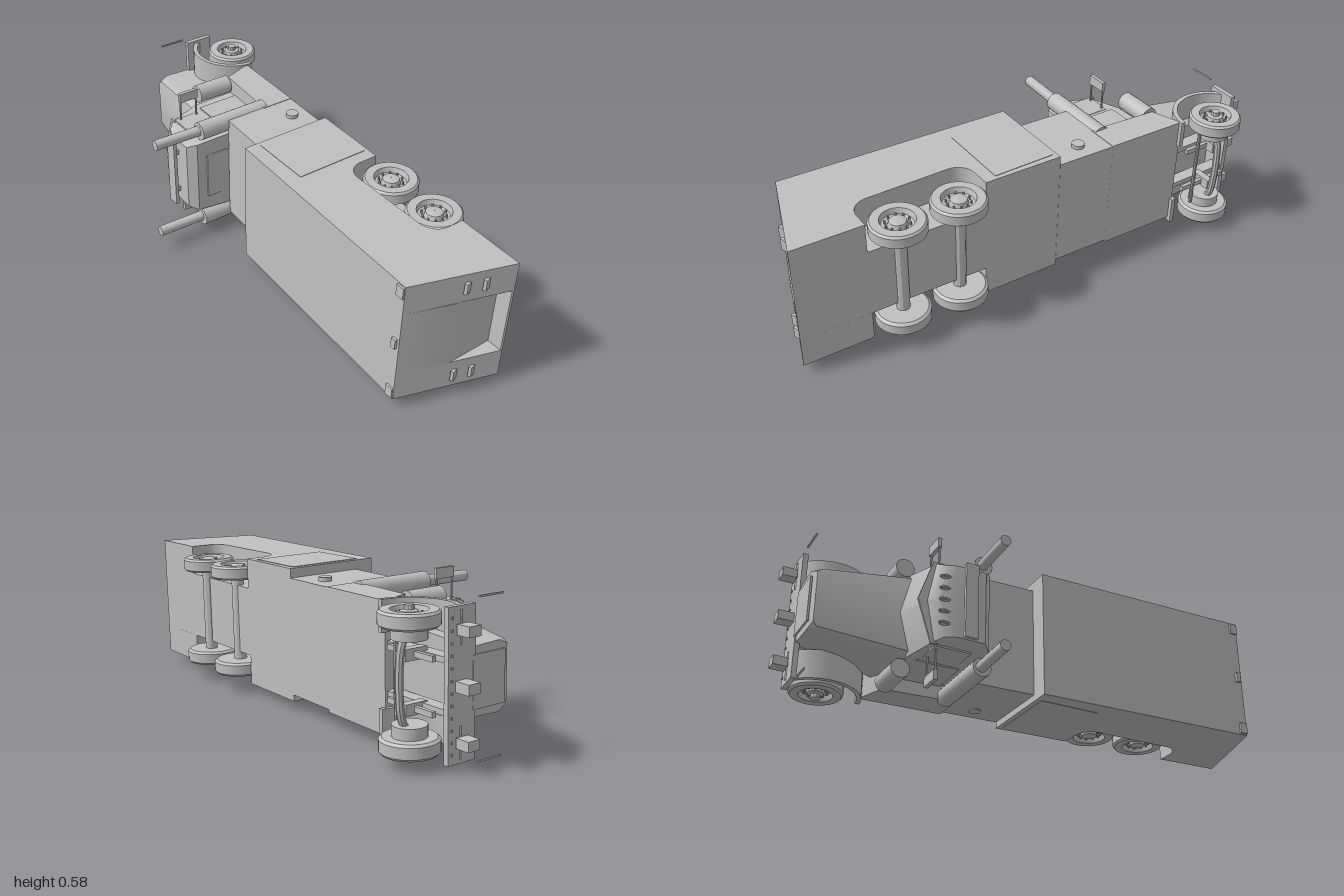
import * as THREE from 'three';
import { toCreasedNormals } from 'three/addons/utils/BufferGeometryUtils.js';
import { ConvexGeometry } from 'three/addons/geometries/ConvexGeometry.js';

// The truck lies on its side: x runs cab (-) to tail (+), z is the truck's roof, y its width.
export function createModel() {
  const grey = new THREE.MeshStandardMaterial({ color: 0xc0c0c0 });
  const root = new THREE.Group();
  const truck = new THREE.Group();
  truck.name = 'truck';
  truck.position.y = 0.3;
  truck.rotation.x = -0.024;
  root.add(truck);
  const cab = new THREE.Group();
  cab.name = 'tractor';
  cab.position.y = -0.013;
  truck.add(cab);

  const add = (parent, name, geo, x = 0, y = 0, z = 0) => {
    const mesh = new THREE.Mesh(toCreasedNormals(geo, 0.5), grey);
    mesh.name = name;
    mesh.position.set(x, y, z);
    parent.add(mesh);
    return mesh;
  };
  // box given by its limits
  const box = (parent, name, x0, x1, y0, y1, z0, z1) =>
    add(parent, name, new THREE.BoxGeometry(x1 - x0, y1 - y0, z1 - z0),
      (x0 + x1) / 2, (y0 + y1) / 2, (z0 + z1) / 2);
  // side profile in (x, z), extruded from y0 to y1
  const slab = (parent, name, shape, y0, y1) => {
    const geo = new THREE.ExtrudeGeometry(shape, { depth: y1 - y0, bevelEnabled: false, curveSegments: 8 });
    geo.rotateX(Math.PI / 2);
    return add(parent, name, geo, 0, y1, 0);
  };
  const poly = pts => new THREE.Shape(pts.map(p => new THREE.Vector2(p[0], p[1])));
  // cylinder standing along the truck's own up axis
  const post = (parent, name, r, x, y, z0, z1) =>
    add(parent, name, new THREE.CylinderGeometry(r, r, z1 - z0, 16).rotateX(Math.PI / 2), x, y, (z0 + z1) / 2);
  // convex solid from points on one half, mirrored across the width
  const hull = (parent, name, pts) => add(parent, name, new ConvexGeometry(
    pts.flatMap(([x, y, z]) => [new THREE.Vector3(x, y, z), new THREE.Vector3(x, -y, z)])));

  // Cargo body: a middle slab with the tail recess and two sides with wheel wells
  slab(truck, 'bodyMiddle', poly([[-0.07, -0.235], [0.995, -0.205], [0.992, -0.198], [0.932, -0.198],
    [0.932, -0.005], [0.87, 0.18], [-0.07, 0.147]]), -0.138, 0.138);
  const side = new THREE.Shape();
  side.moveTo(0.87, 0.18);
  side.lineTo(-0.07, 0.147);
  side.lineTo(-0.07, -0.235);
  side.lineTo(0.25, -0.226);
  side.lineTo(0.25, -0.15);
  side.absarc(0.32, -0.15, 0.07, Math.PI, Math.PI / 2, true);
  side.lineTo(0.65, -0.08);
  side.absarc(0.65, -0.15, 0.07, Math.PI / 2, 0, true);
  side.lineTo(0.72, -0.213);
  side.lineTo(0.995, -0.205);
  slab(truck, 'bodySideLeft', side, 0.138, 0.256);
  slab(truck, 'bodySideRight', side, -0.256, -0.138);
  slab(truck, 'frontCompartment', poly([[-0.315, -0.245], [-0.07, -0.236], [-0.07, 0.07], [-0.315, 0.06]]), -0.23, 0.22);
  slab(truck, 'cabSkirt', poly([[-0.645, -0.255], [-0.31, -0.245], [-0.31, -0.11], [-0.6, -0.13]]), -0.24, 0.222);

  // Tyre, rim and hub, with the outer face towards +y
  const wheelGeo = (r, w) => new THREE.LatheGeometry([
    [0.001, -w / 2], [r * 0.9, -w / 2], [r, -w * 0.35], [r, w * 0.35], [r * 0.93, w / 2], [r * 0.62, w / 2],
    [r * 0.56, w * 0.12], [r * 0.35, w * 0.05], [r * 0.3, w * 0.4], [r * 0.12, w * 0.5], [0.001, w * 0.5],
  ].map(p => new THREE.Vector2(...p)), 28);
  const wheel = (parent, name, x, y, z, r, w) => {
    const g = new THREE.Group();
    g.name = name;
    g.position.set(x, y, z);
    if (y < 0) g.rotation.x = Math.PI;
    parent.add(g);
    add(g, 'tyre', wheelGeo(r, w));
    for (let i = 0; i < 10; i++) {
      const a = i * Math.PI / 5;
      add(g, 'wheelNut', new THREE.CylinderGeometry(0.004, 0.004, 0.016, 6),
        Math.cos(a) * r * 0.43, w * 0.2, Math.sin(a) * r * 0.43);
    }
    return g;
  };

  for (const s of [1, -1]) {
    const span = (a, b) => (s > 0 ? [a, b] : [-b, -a]);
    // Rear wheels
    for (const x of [0.355, 0.595]) wheel(truck, 'rearWheel', x, s * 0.197, x < 0.4 ? -0.212 : -0.205, 0.105, 0.055);
    // Body fittings
    box(truck, 'sidePanel', -0.05, 0.2, ...span(0.25, 0.258), -0.21, 0.09);
    box(truck, 'roofHinge', 0.835, 0.868, ...span(0.205, 0.25), 0.165, 0.187);
    add(truck, 'fillerCap', new THREE.CylinderGeometry(0.025, 0.025, 0.02, 14), -0.2, s * 0.225, -0.17);
    for (const z of [-0.035, -0.1]) {
      const lamp = add(truck, 'tailLamp', new THREE.BoxGeometry(0.012, 0.045, 0.033), 0.94 - (z + 0.035) * 0.33, s * 0.2, z);
      lamp.rotation.y = 0.318;
    }

    // Front wheels, steering knuckles and fenders
    wheel(cab, 'frontWheel', -0.8, s * 0.208, -0.282, 0.102, 0.056);
    add(cab, 'frontHub', new THREE.CylinderGeometry(0.016, 0.02, 0.03, 10), -0.8, s * 0.235, -0.282);
    add(cab, 'brakeDrum', new THREE.CylinderGeometry(0.06, 0.06, 0.05, 20), -0.8, s * 0.165, -0.282);
    const arch = new THREE.Shape();
    arch.absarc(-0.8, -0.28, 0.168, 0.05, 2.6, false);
    arch.absarc(-0.8, -0.28, 0.15, 2.6, 0.05, true);
    slab(cab, 'frontFender', arch, ...span(0.13, 0.242));
    box(cab, 'chassisRail', -0.93, -0.3, ...span(0.075, 0.095), -0.24, -0.19);
    box(cab, 'leafSpring', -0.9, -0.68, ...span(0.08, 0.1), -0.275, -0.26);
    box(cab, 'springMount', -0.815, -0.785, ...span(0.07, 0.11), -0.31, -0.22);

    // Exhaust stacks and air cleaners
    post(cab, 'exhaustMuffler', 0.037, -0.345, s * 0.21, -0.13, 0.18);
    const tip = post(cab, 'exhaustPipe', 0.021, -0.352, s * 0.21, 0.17, 0.375);
    tip.rotation.y = -0.03;
    post(cab, 'airCleaner', 0.037, -0.596, s * 0.207, -0.12, 0.03);

    // Mirrors with their brackets, whip aerials, headlamps
    box(cab, 'mirror', -0.525, -0.51, ...span(0.25, 0.289), 0.08, 0.163);
    for (const z of [0.085, 0.158]) box(cab, 'mirrorArm', -0.52, -0.514, ...span(0.15, 0.27), z - 0.003, z + 0.003);
    box(cab, 'aerial', -0.935, -0.929, ...span(0.268, 0.274), -0.11, -0.005);
    box(cab, 'cornerLamp', -1, -0.945, ...span(0.165, 0.2), -0.215, -0.165);
    box(cab, 'lampArm', -0.96, -0.925, ...span(0.175, 0.19), -0.2, -0.18);

    // Cab door and window plates
    box(cab, 'door', -0.545, -0.375, ...span(0.168, 0.174), -0.17, 0.05);
    box(cab, 'sideWindow', -0.53, -0.39, ...span(0.162, 0.169), 0.07, 0.18);
    box(cab, 'roofBarFoot', -0.44, -0.42, ...span(0.08, 0.1), 0.225, 0.255);
  }

  // Tail step lamps and roof markers
  box(truck, 'tailMarker', 0.84, 0.86, -0.02, 0.02, 0.17, 0.19);

  // Axles
  for (const x of [0.355, 0.595])
    add(truck, 'rearAxle', new THREE.CylinderGeometry(0.025, 0.025, 0.36, 12), x, 0, -0.21);
  const beam = new THREE.CatmullRomCurve3([[-0.18, -0.282], [-0.15, -0.3], [-0.11, -0.318], [0.11, -0.318], [0.15, -0.3], [0.18, -0.282]]
    .map(([y, z]) => new THREE.Vector3(-0.8, y, z)));
  add(cab, 'frontAxle', new THREE.TubeGeometry(beam, 24, 0.014, 8));
  add(cab, 'steeringRod', new THREE.CylinderGeometry(0.007, 0.007, 0.34, 8), -0.73, 0, -0.28);

  // Hood, grille and bumper
  hull(cab, 'hood', [[-0.935, 0.115, -0.15], [-0.935, 0.12, -0.02], [-0.925, 0.1, 0.025], [-0.91, 0.115, 0.022],
    [-0.58, 0.165, -0.2], [-0.58, 0.165, 0.035], [-0.58, 0.15, 0.06]]);
  box(cab, 'grille', -0.942, -0.934, -0.09, 0.09, -0.14, 0.0);
  box(cab, 'bumper', -0.94, -0.92, -0.255, 0.255, -0.245, -0.13);
  for (let i = 0; i < 12; i++)
    box(cab, 'bumperBolt', -0.944, -0.938, -0.224 + i * 0.04, -0.216 + i * 0.04, -0.235, -0.227);
  box(cab, 'centreLamp', -1, -0.94, -0.018, 0.018, -0.215, -0.165);

  // Cab shell with a split windshield
  hull(cab, 'cabShell', [[-0.59, 0.168, -0.2], [-0.32, 0.168, -0.2], [-0.62, 0, 0.05], [-0.58, 0.168, 0.05],
    [-0.32, 0.168, 0.06], [-0.575, 0, 0.18], [-0.54, 0.158, 0.185], [-0.33, 0.16, 0.2],
    [-0.54, 0, 0.215], [-0.51, 0.145, 0.215], [-0.47, 0.145, 0.232], [-0.36, 0.145, 0.232]]);
  box(cab, 'rearWindow', -0.326, -0.318, -0.1, 0.1, 0.06, 0.16);
  const visor = new THREE.ExtrudeGeometry(poly([[-0.605, 0], [-0.55, -0.165], [-0.525, -0.165], [-0.56, 0], [-0.525, 0.165], [-0.55, 0.165]]),
    { depth: 0.008, bevelEnabled: false });
  add(cab, 'sunVisor', visor, 0, 0, 0.178);
  for (let i = -2; i <= 2; i++)
    add(cab, 'roofLamp', new THREE.SphereGeometry(1, 10, 6).scale(0.024, 0.009, 0.012), -0.515, i * 0.047, 0.218);
  box(cab, 'roofBar', -0.455, -0.405, -0.15, 0.148, 0.25, 0.264);

  return root;
}
